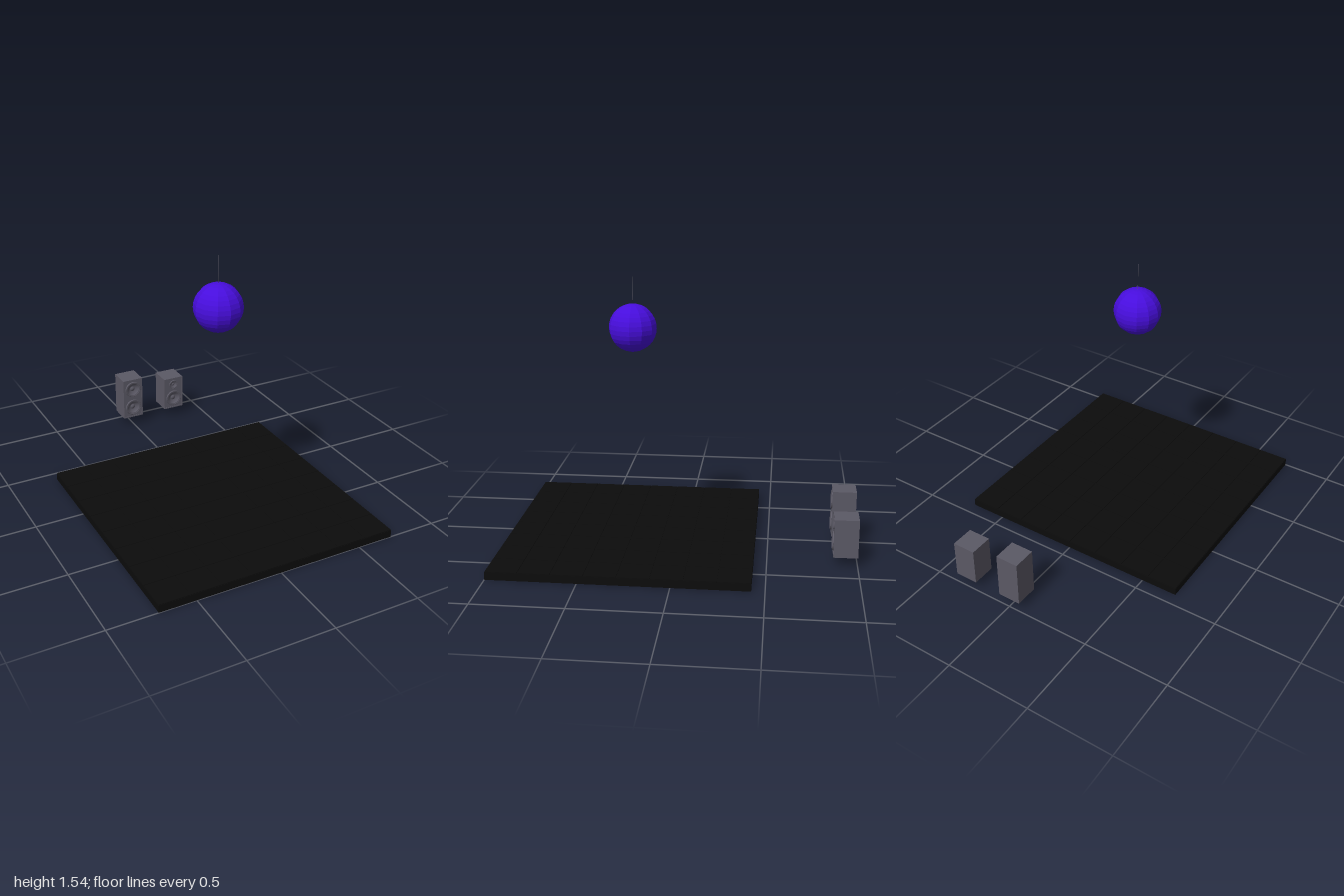
import * as THREE from 'three';

const material = (color, extra = {}) => new THREE.MeshStandardMaterial({ color, ...extra });

function add(parent, name, geometry, mat, x = 0, y = 0, z = 0) {
  const mesh = new THREE.Mesh(geometry, mat);
  mesh.name = name;
  mesh.position.set(x, y, z);
  parent.add(mesh);
  return mesh;
}

const rectangle = (w, h, Type = THREE.Shape) => new Type([
  new THREE.Vector2(-w / 2, -h / 2), new THREE.Vector2(w / 2, -h / 2),
  new THREE.Vector2(w / 2, h / 2), new THREE.Vector2(-w / 2, h / 2),
]);

// Speaker driver: raised rim, sunken cone and domed dust cap, facing +z
function driver(r) {
  const profile = [
    [0, -0.08], [0.16, -0.11], [0.28, -0.17], [0.36, -0.26], [0.72, -0.03],
    [0.76, 0.06], [0.82, 0.08], [0.88, 0.04], [0.9, 0.11], [0.97, 0.11], [1, 0.06], [1, -0.1],
  ].map(([x, y]) => new THREE.Vector2(x * r, y * r)).reverse();
  return new THREE.LatheGeometry(profile, 32).rotateX(Math.PI / 2);
}

// Cabinet with a framed baffle; drivers are [height above base, radius]
function speaker(name, height, drivers) {
  const group = new THREE.Group();
  group.name = name;
  const grey = material(0x5b5965, { flatShading: true });
  const cone = material(0x5b5965, { side: THREE.DoubleSide });
  const w = 0.135, depth = 0.136, baffleDepth = 0.022, frameDepth = 0.003;
  const backDepth = depth - baffleDepth - frameDepth;
  add(group, 'cabinet', new THREE.BoxGeometry(w, height, backDepth), grey, 0, height / 2, backDepth / 2);

  const baffle = rectangle(w, height);
  for (const [y, r] of drivers) {
    baffle.holes.push(new THREE.Path().absarc(0, y - height / 2, r * 0.98, 0, Math.PI * 2, true));
  }
  add(group, 'baffle', new THREE.ExtrudeGeometry(baffle,
    { depth: baffleDepth, bevelEnabled: false, curveSegments: 32 }), grey, 0, height / 2, backDepth);

  const frame = rectangle(w, height);
  frame.holes.push(rectangle(w - 0.016, height - 0.016, THREE.Path));
  add(group, 'frontFrame', new THREE.ExtrudeGeometry(frame,
    { depth: frameDepth, bevelEnabled: false }), grey, 0, height / 2, backDepth + baffleDepth);

  drivers.forEach(([y, r], i) =>
    add(group, `driver${i + 1}`, driver(r), cone, 0, y, backDepth + baffleDepth + 0.003));
  return group;
}

export function createModel() {
  const model = new THREE.Group();
  model.name = 'danceFloorSet';

  // Floor slab topped with a grid of tiles separated by shallow grooves
  const floor = new THREE.Group();
  floor.name = 'danceFloor';
  floor.position.z = 0.286;
  model.add(floor);
  const black = material(0x0c0c0c);
  const size = 1.427, count = 8, pitch = size / count, gap = 0.004;
  add(floor, 'slab', new THREE.BoxGeometry(size, 0.043, size), black, 0, 0.0215, 0);
  const tile = new THREE.BoxGeometry(pitch - gap, 0.004, pitch - gap);
  for (let i = 0; i < count; i++) {
    for (let j = 0; j < count; j++) {
      add(floor, 'tile', tile, black, (i + 0.5) * pitch - size / 2, 0.045, (j + 0.5) * pitch - size / 2);
    }
  }

  // Faceted hanging ball with its fine cord
  const ball = new THREE.Group();
  ball.name = 'hangingBall';
  ball.position.set(0, 1.247, 0.286);
  model.add(ball);
  add(ball, 'ball', new THREE.SphereGeometry(0.136, 12, 16), material(0x470ddd, { flatShading: true }));
  add(ball, 'cord', new THREE.CylinderGeometry(0.001, 0.001, 0.155, 6), material(0x5b5965), 0, 0.2115, 0);

  // Tall twin-woofer speaker and shorter woofer-and-tweeter speaker
  const tall = speaker('tallSpeaker', 0.273, [[0.073, 0.053], [0.203, 0.053]]);
  tall.position.set(-0.002, 0.057, -1);
  const short = speaker('shortSpeaker', 0.22, [[0.073, 0.053], [0.173, 0.03]]);
  short.position.set(0.297, 0.057, -1);
  model.add(tall, short);

  return model;
}
